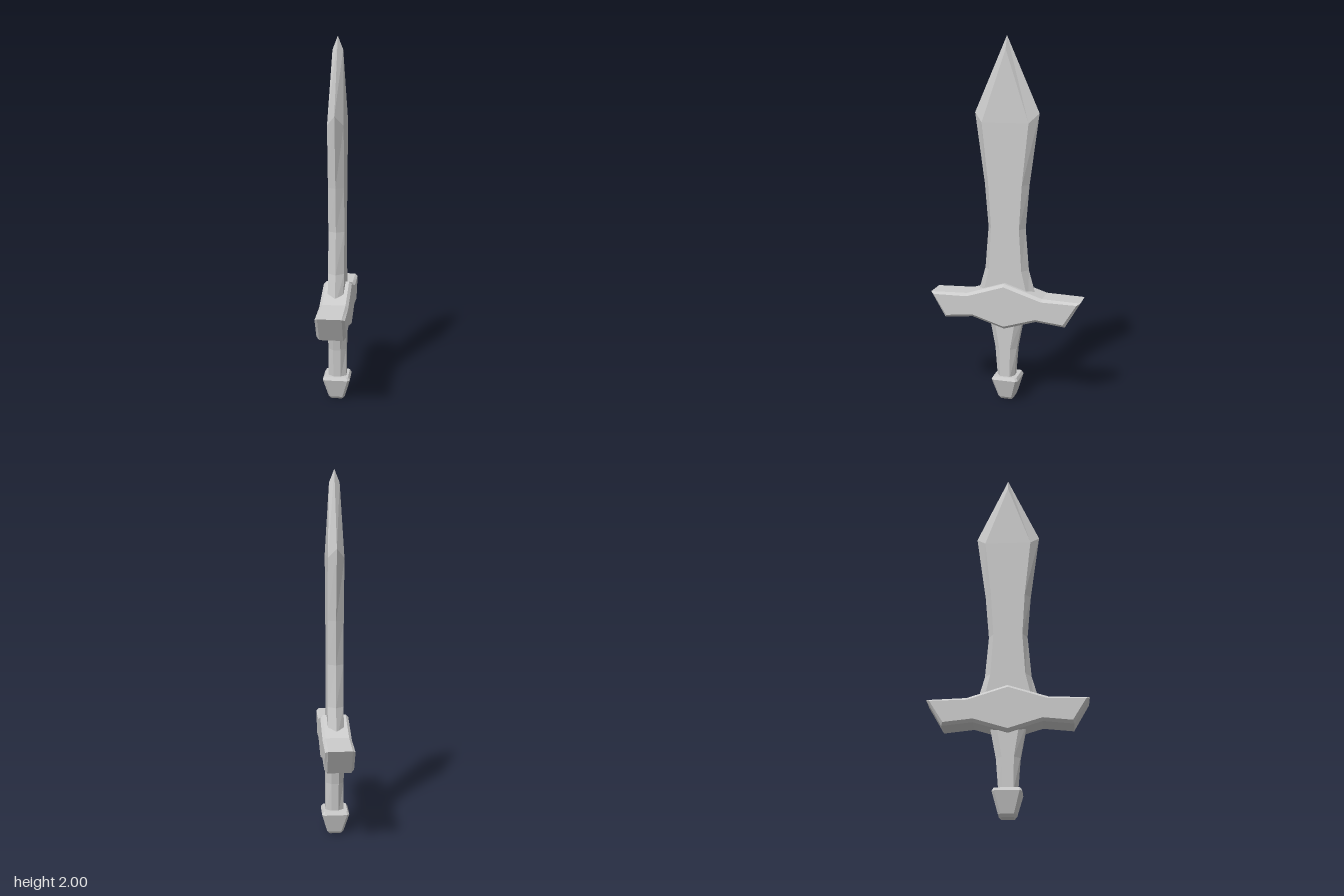
import * as THREE from 'three';

const material = new THREE.MeshStandardMaterial({ color: 0xcccccc, flatShading: true });

// Joins rings of [x, y, z] points, listed bottom to top and counterclockwise from above, with closed ends.
function loft(rings) {
  const pos = [];
  const n = rings[0].length;
  const corner = (p) => new THREE.Vector3(...p);
  const tri = (a, b, c) => {
    const area = new THREE.Triangle(corner(a), corner(b), corner(c)).getArea();
    if (area > 1e-8) pos.push(...a, ...b, ...c);
  };
  for (let r = 0; r < rings.length - 1; r++) {
    const lo = rings[r], hi = rings[r + 1];
    for (let i = 0; i < n; i++) {
      const j = (i + 1) % n;
      tri(lo[i], lo[j], hi[j]);
      tri(lo[i], hi[j], hi[i]);
    }
  }
  const bottom = rings[0], top = rings[rings.length - 1];
  for (let i = 1; i < n - 1; i++) {
    tri(bottom[0], bottom[i + 1], bottom[i]);
    tri(top[0], top[i], top[i + 1]);
  }
  const geo = new THREE.BufferGeometry();
  geo.setAttribute('position', new THREE.Float32BufferAttribute(pos, 3));
  geo.computeVertexNormals();
  return geo;
}

// Six-sided blade section: cutting edges at z = +-edgeZ, flat sides at x = +-flatX.
function bladeRing([edgeY, edgeZ, flatY, flatZ, flatX]) {
  return [
    [0, edgeY, edgeZ], [flatX, flatY, flatZ], [flatX, flatY, -flatZ],
    [0, edgeY, -edgeZ], [-flatX, flatY, -flatZ], [-flatX, flatY, flatZ],
  ];
}

// Rectangle with cut corners: outer half sizes ox, oz and half widths ix, iz of the flats.
function octagonRing(y, ox, oz, ix, iz) {
  return [
    [-ix, y, oz], [ix, y, oz], [ox, y, iz], [ox, y, -iz],
    [ix, y, -oz], [-ix, y, -oz], [-ox, y, -iz], [-ox, y, iz],
  ];
}

function addPart(group, name, geometry) {
  const mesh = new THREE.Mesh(geometry, material);
  mesh.name = name;
  group.add(mesh);
  return mesh;
}

export function createModel() {
  const group = new THREE.Group();
  group.name = 'shortSword';

  // Leaf-shaped blade, waisted above the guard and ending in a pointed ridge
  addPart(group, 'blade', loft([
    [0.58, 0.172, 0.58, 0.132, 0.043],
    [0.75, 0.124, 0.75, 0.092, 0.043],
    [0.98, 0.105, 0.98, 0.078, 0.043],
    [1.22, 0.125, 1.22, 0.093, 0.043],
    [1.60, 0.177, 1.55, 0.128, 0.043],
    [2.00, 0, 1.93, 0, 0.028],
  ].map(bladeRing)));

  // Winged cross guard with bevelled rims
  const half = [[0, 0.425], [0.18, 0.48], [0.34, 0.463], [0.423, 0.605], [0.213, 0.612], [0, 0.68]];
  const mirrored = half.slice(1, -1).reverse().map(([z, y]) => [-z, y]);
  const outline = new THREE.Shape([...half, ...mirrored].map(([z, y]) => new THREE.Vector2(z, y)));
  const bevel = 0.015, thickness = 0.155;
  const guard = new THREE.ExtrudeGeometry(outline, {
    depth: thickness - 2 * bevel, bevelEnabled: true, bevelSegments: 1,
    bevelThickness: bevel, bevelSize: bevel, bevelOffset: -bevel,
  });
  guard.translate(0, 0, bevel - thickness / 2);
  guard.rotateY(Math.PI / 2);
  addPart(group, 'crossGuard', guard);

  // Eight-sided grip flaring up into the guard
  addPart(group, 'grip', loft([
    octagonRing(0.12, 0.05, 0.048, 0.02, 0.027),
    octagonRing(0.30, 0.05, 0.062, 0.02, 0.031),
    octagonRing(0.48, 0.05, 0.096, 0.02, 0.06),
  ]));

  // Tapered pommel with cut corners
  const pommel = addPart(group, 'pommel', loft([
    [0, 0.034, 0.028], [0.015, 0.046, 0.033], [0.123, 0.076, 0.063], [0.14, 0.066, 0.058],
  ].map(([y, outer, inner]) => octagonRing(y, outer, outer, inner, inner))));
  pommel.position.set(-0.003, 0, -0.003);

  return group;
}
